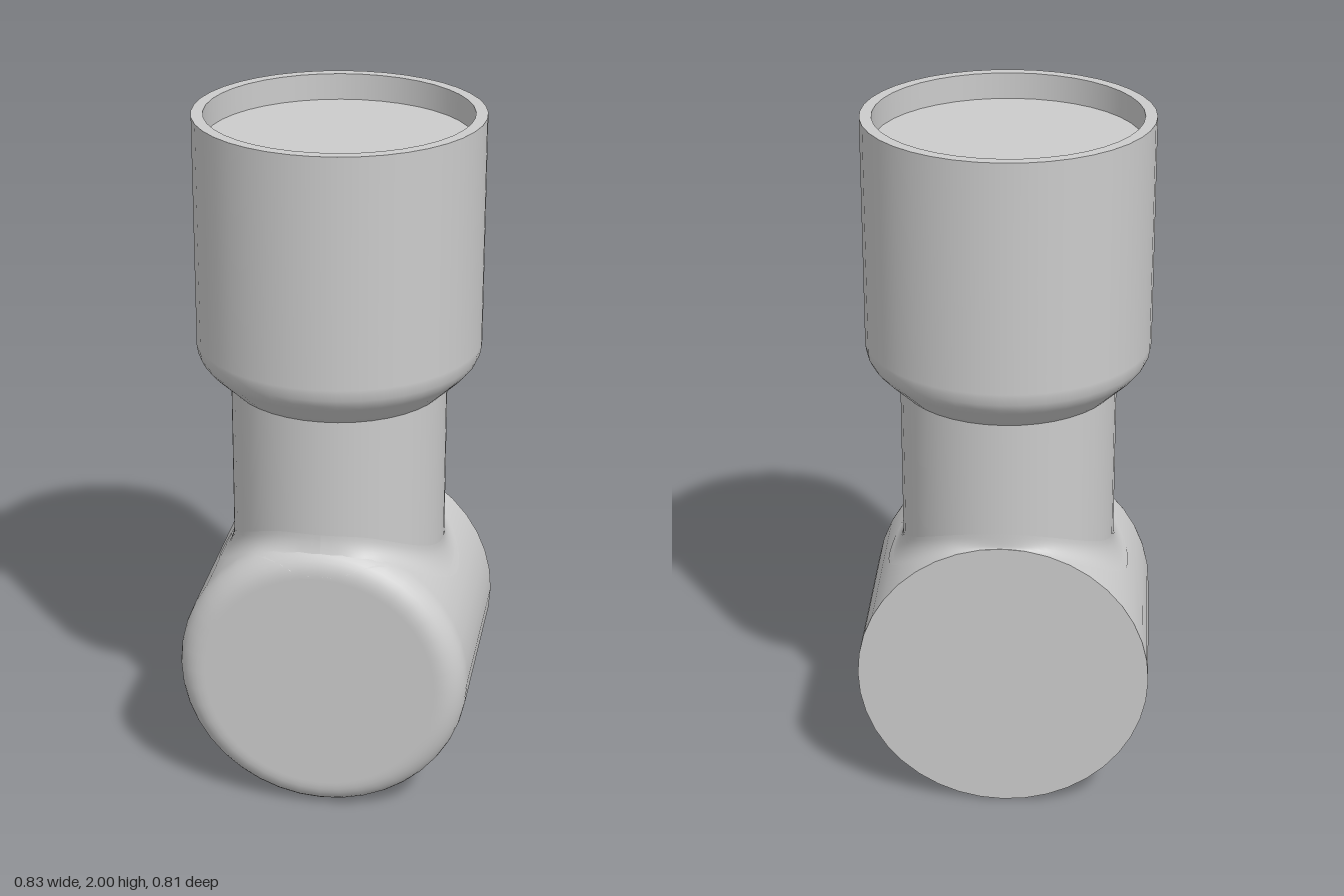
import * as THREE from 'three';

const SEG = 40;
const BODY_R = 0.417, FRONT = 0.345, BACK = -0.31, ROUND = 0.075;
const NECK_R = 0.307, FILLET = 0.045;

const material = new THREE.MeshStandardMaterial({ color: 0xcccccc });

function addMesh(parent, name, geometry) {
  const mesh = new THREE.Mesh(geometry, material);
  mesh.name = name;
  parent.add(mesh);
  return mesh;
}

// Smooth surface of revolution; separate calls keep hard edges between them
function addLathe(parent, name, profile, segments = SEG) {
  const points = profile.map(([r, y]) => new THREE.Vector2(r, y));
  return addMesh(parent, name, new THREE.LatheGeometry(points, segments));
}

// Radius of the horizontal body at depth z, including its rounded front edge
function bodyRadius(z) {
  const d = Math.max(0, z - (FRONT - ROUND));
  return BODY_R - ROUND + Math.sqrt(Math.max(0, ROUND * ROUND - d * d));
}

// Height of the top of the body above a point on the floor plan
function bodyTop(x, z) {
  return BODY_R + Math.sqrt(Math.max(0, bodyRadius(z) ** 2 - x * x));
}

// Concave skirt following the saddle line where the neck meets the body
function filletGeometry() {
  const steps = 8;
  const rows = Array.from({ length: steps + 1 }, (_, i) => new THREE.Vector2(1, i / steps));
  const geometry = new THREE.LatheGeometry(rows, 80);
  const pos = geometry.attributes.position;
  for (let i = 0; i < pos.count; i++) {
    const sx = pos.getX(i), sz = pos.getZ(i), t = pos.getY(i);
    const inX = NECK_R * sx, inZ = NECK_R * sz;
    const outX = (NECK_R + FILLET) * sx;
    const outZ = THREE.MathUtils.clamp((NECK_R + FILLET) * sz, BACK, FRONT);
    const inY = bodyTop(inX, inZ), outY = bodyTop(outX, outZ);
    // quadratic curve from the body (t = 0) up to the neck (t = 1)
    const k = (1 - t) ** 2;
    pos.setXYZ(i,
      inX + (outX - inX) * k,
      k * outY + 2 * t * (1 - t) * inY + t * t * (inY + FILLET),
      inZ + (outZ - inZ) * k);
  }
  geometry.computeVertexNormals();
  return geometry;
}

export function createModel() {
  const group = new THREE.Group();

  // Horizontal body with a rounded front edge and a flat, sharp back
  const body = new THREE.Group();
  body.name = 'body';
  body.rotation.x = Math.PI / 2;
  body.position.y = BODY_R;
  const shell = [[BODY_R, BACK], [BODY_R, FRONT - ROUND - 0.01]];
  for (let i = 0; i <= 8; i++) {
    const a = (i / 8) * Math.PI / 2;
    shell.push([BODY_R - ROUND + ROUND * Math.cos(a), FRONT - ROUND + ROUND * Math.sin(a)]);
  }
  shell.push([BODY_R - ROUND - 0.01, FRONT], [0, FRONT]);
  addLathe(body, 'bodyShell', shell);
  addLathe(body, 'bodyBack', [[0, BACK], [BODY_R, BACK]]);
  group.add(body);

  // Neck rising from the body, blended in with a fillet
  addLathe(group, 'neck', [[NECK_R, 0.6], [NECK_R, 1.215]]);
  addMesh(group, 'neckFillet', filletGeometry());

  // Socket: flared underside, straight wall, flat rim and shallow recess
  const socket = new THREE.Group();
  socket.name = 'socket';
  addLathe(socket, 'socketWall', [
    [NECK_R, 1.215], [0.367, 1.272], [0.378, 1.283], [0.39, 1.298],
    [0.399, 1.317], [0.403, 1.34], [0.403, 1.35], [0.403, 2],
  ]);
  addLathe(socket, 'socketRim', [[0.403, 2], [0.37, 2]]);
  addLathe(socket, 'recessWall', [[0.37, 2], [0.37, 1.925]]);
  addLathe(socket, 'recessFloor', [[0.37, 1.925], [0, 1.925]]);
  group.add(socket);

  return group;
}
